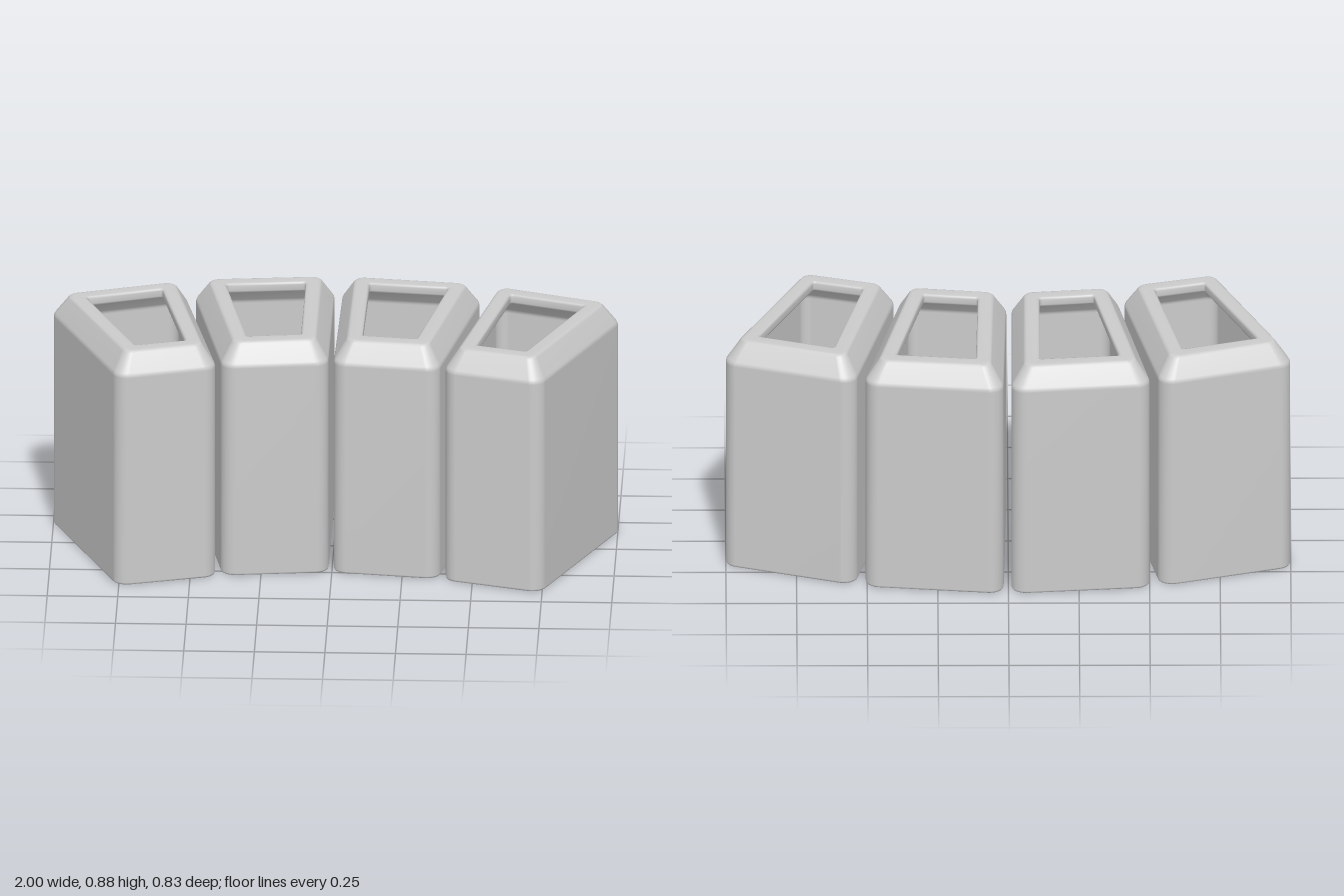
import * as THREE from 'three';

// Footprints (x, z) of the two left-hand planters, clockwise seen from above
const FOOTPRINTS = {
  inner: [[0.014, -0.43], [0.512, -0.376], [0.381, 0.301], [0.009, 0.256]],
  outer: [[0.543, -0.365], [1.017, -0.205], [0.748, 0.412], [0.4, 0.31]],
};

// Wall section (inset from footprint, height): outside, chamfer, rim, lip, inside
const SECTION = [
  [0, 0], [0, 0.8], [0.047, 0.877], [0.1, 0.877],
  [0.1, 0.84], [0.075, 0.84], [0.035, 0.785], [0.035, 0],
];

// Soften every corner of a closed section with a small three-point fillet
function fillet(points, size) {
  const v = points.map((p) => new THREE.Vector2(...p));
  return v.flatMap((p, i) => {
    const toward = (q) => q.clone().sub(p).setLength(size).add(p);
    const a = toward(v[(i + v.length - 1) % v.length]);
    const b = toward(v[(i + 1) % v.length]);
    const mid = a.clone().add(b).multiplyScalar(0.25).addScaledVector(p, 0.5);
    return [a, mid, b];
  });
}

// Footprint moved inwards by inset, with rounded corners
function ring(corners, inset, steps = 6) {
  const radius = 0.05 - 0.4 * inset;
  const v = corners.map((c) => new THREE.Vector2(...c));
  const inward = v.map((p, i) => {
    const t = v[(i + 1) % v.length].clone().sub(p).normalize();
    return new THREE.Vector2(-t.y, t.x);
  });
  return v.flatMap((p, i) => {
    const n1 = inward[(i + v.length - 1) % v.length];
    const n2 = inward[i];
    const centre = n1.clone().add(n2)
      .multiplyScalar((inset + radius) / (1 + n1.dot(n2))).add(p);
    return Array.from({ length: steps + 1 }, (_, k) =>
      n1.clone().lerp(n2, k / steps).setLength(-radius).add(centre));
  });
}

// Sweep the wall section around a footprint into a hollow, open-bottomed shell
function planterGeometry(corners) {
  const section = fillet(SECTION, 0.009);
  const positions = [];
  const index = [];
  let n = 0;
  for (const s of section) {
    const loop = ring(corners, s.x);
    n = loop.length;
    loop.forEach((p) => positions.push(p.x, s.y, p.y));
  }
  for (let i = 0; i < section.length; i++) {
    const up = (i + 1) % section.length;
    for (let j = 0; j < n; j++) {
      const next = (j + 1) % n;
      const a = i * n + j, b = up * n + j, c = up * n + next, d = i * n + next;
      index.push(a, b, d, b, c, d);
    }
  }
  const geometry = new THREE.BufferGeometry();
  geometry.setAttribute('position', new THREE.Float32BufferAttribute(positions, 3));
  geometry.setIndex(index);
  geometry.computeVertexNormals();
  return geometry;
}

export function createModel() {
  const model = new THREE.Group();
  model.name = 'curvedPlanterRow';
  const material = new THREE.MeshStandardMaterial({ color: 0xcccccc });

  // Each planter and its mirrored partner
  for (const [name, corners] of Object.entries(FOOTPRINTS)) {
    const mirrored = corners.map(([x, z]) => [-x, z]).reverse();
    for (const [side, shape] of [['Left', corners], ['Right', mirrored]]) {
      const planter = new THREE.Mesh(planterGeometry(shape), material);
      planter.name = `${name}Planter${side}`;
      // The row sits very slightly turned
      planter.rotation.y = -0.011;
      planter.position.x = -0.001;
      model.add(planter);
    }
  }
  return model;
}
